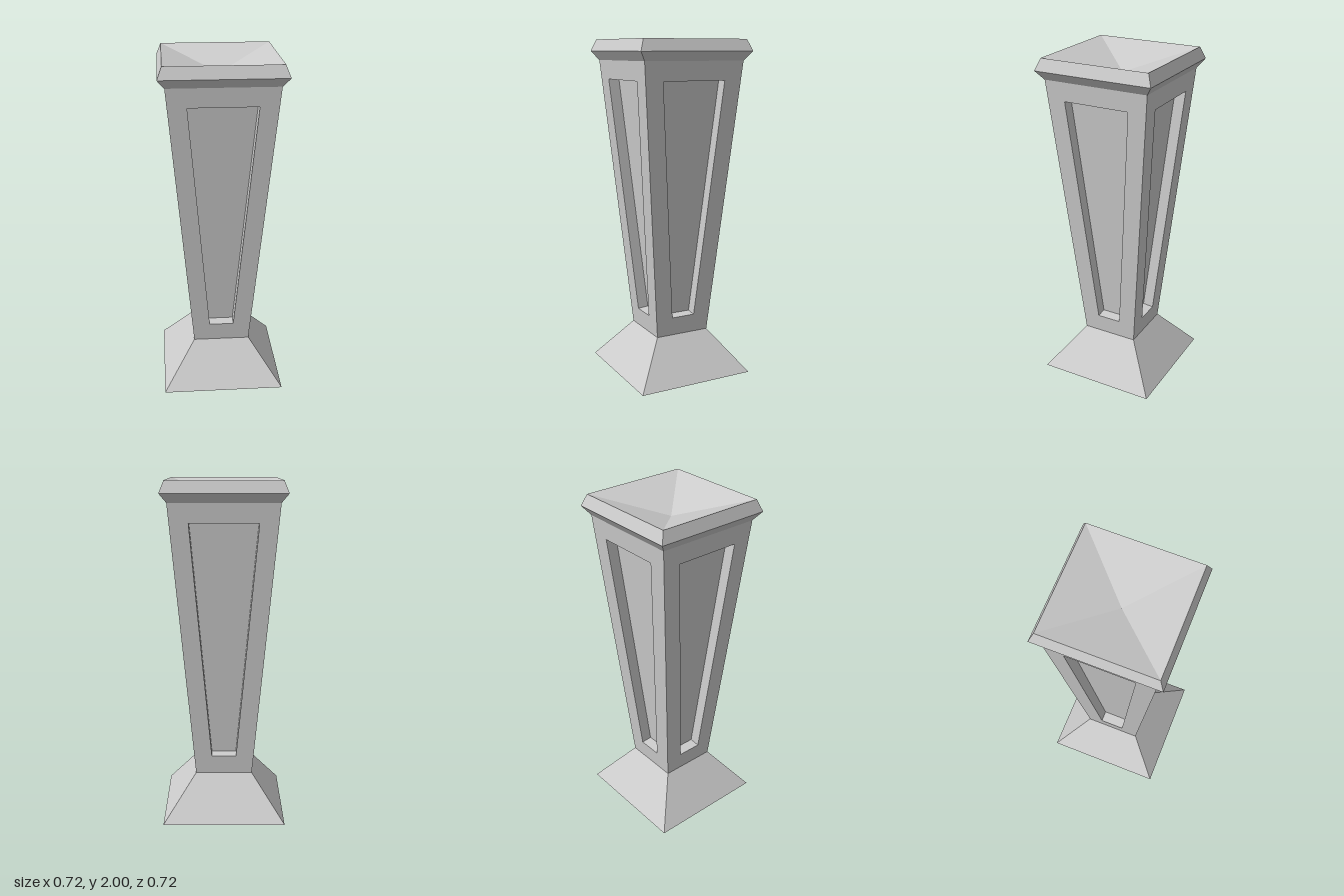
import * as THREE from 'three';

const stone = new THREE.MeshStandardMaterial({ color: 0xcccccc, side: THREE.DoubleSide });
stone.name = 'grey stone';

// Flat-shaded mesh from four-cornered faces of the +z side, repeated on all four sides
function fourSided(name, quads) {
  const pos = [];
  for (let s = 0; s < 4; s++) {
    const turn = new THREE.Matrix4().makeRotationY(s * Math.PI / 2);
    for (const [a, b, c, d] of quads) {
      for (const p of [a, b, c, a, c, d]) pos.push(...p.clone().applyMatrix4(turn).toArray());
    }
  }
  const geo = new THREE.BufferGeometry();
  geo.setAttribute('position', new THREE.Float32BufferAttribute(pos, 3));
  geo.computeVertexNormals();
  const mesh = new THREE.Mesh(geo, stone);
  mesh.name = name;
  return mesh;
}

const v = (x, y, z) => new THREE.Vector3(x, y, z);

// Sloped face between two square levels, each given as [half width, height]
const slope = ([h0, y0], [h1, y1]) => [v(-h0, y0, h0), v(h0, y0, h0), v(h1, y1, h1), v(-h1, y1, h1)];

export function createModel() {
  const group = new THREE.Group();
  group.name = 'pillar';

  const foot = [0.36, 0], neck = [0.169, 0.252], shoulder = [0.312, 1.88];
  const rim = [0.351, 1.932], lip = [0.324, 2];

  // Hollow flared base
  group.add(fourSided('base', [slope(foot, neck)]));

  // Tapered shaft with a recessed panel on every side
  const lean = (shoulder[0] - neck[0]) / (shoulder[1] - neck[1]);
  const onFace = (x, y) => v(x, y, neck[0] + (y - neck[1]) * lean);
  const inward = v(0, lean, -1).normalize().multiplyScalar(0.065);
  const outer = slope(neck, shoulder);
  const edge = [onFace(-0.073, 0.363), onFace(0.073, 0.363), onFace(0.195, 1.77), onFace(-0.195, 1.77)];
  const inner = edge.map((p) => p.clone().add(inward));
  const frame = [], walls = [];
  for (let i = 0; i < 4; i++) {
    const j = (i + 1) % 4;
    frame.push([outer[i], outer[j], edge[j], edge[i]]);
    walls.push([edge[i], edge[j], inner[j], inner[i]]);
  }
  group.add(fourSided('shaft', frame));
  group.add(fourSided('panelEdges', walls));
  group.add(fourSided('recessedPanels', [inner]));

  // Flared cap with a shallow sunken pyramid on top
  group.add(fourSided('cap', [slope(shoulder, rim), slope(rim, lip)]));
  group.add(fourSided('sunkenTop', [slope(lip, [0, 1.89])]));

  return group;
}
